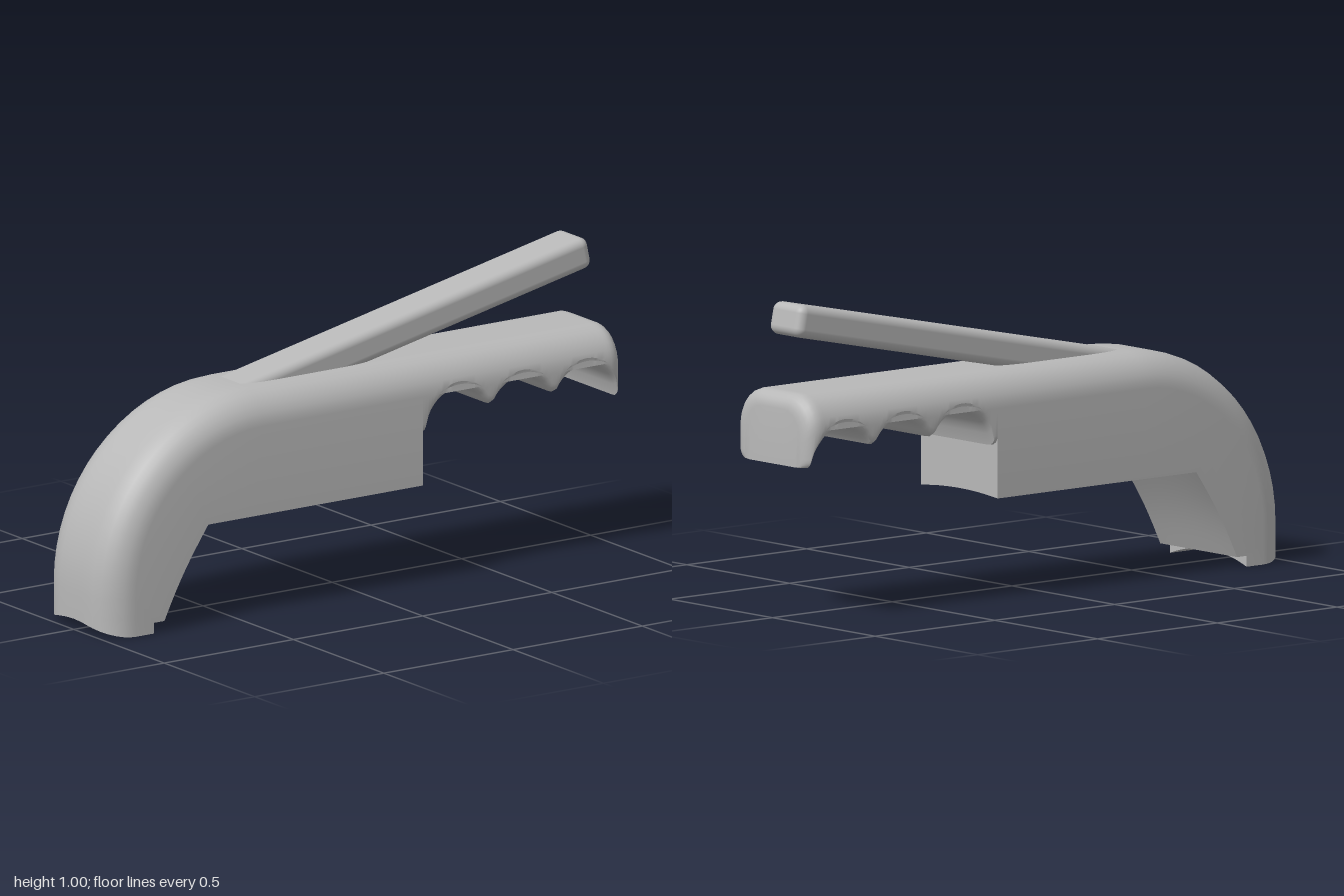
import * as THREE from 'three';
import { toCreasedNormals } from 'three/addons/utils/BufferGeometryUtils.js';
import { RoundedBoxGeometry } from 'three/addons/geometries/RoundedBoxGeometry.js';

const HALF = 0.187;      // half width of the body
const EDGE = 0.11;       // rounding along the outer edge
const GROOVE_EDGE = 0.03; // rounding along the finger grooves
const POCKET = { x0: -0.49, x1: 0.17, z: 0.13, top: 0.55, bottom: 0.331 };

const halfZ = [0.04, 0.077, 0.1, 0.13, 0.15, 0.167, 0.179, 0.185, HALF];
const zs = [...halfZ.map((z) => -z).reverse(), 0, ...halfZ];

// How far a rounded edge of radius r falls back at width z
function fillet(z, r) {
  const d = Math.max(0, Math.abs(z) - (HALF - r));
  return r - Math.sqrt(Math.max(0, r * r - d * d));
}

// Underside of the grip: three finger grooves
function grooveY(x) {
  let y = 0.495;
  for (const c of [0.365, 0.61, 0.855]) {
    const d = x - c;
    if (Math.abs(d) < 0.13) y = Math.max(y, 0.485 + Math.sqrt(0.0169 - d * d));
  }
  return x > 0.4 && x < 0.82 ? Math.max(y, 0.548) : y;
}

// Cross-sections from the grip tip, along the top and round the bend to the foot
function bodyStations() {
  const list = [];
  const add = (o, n, i, extra = {}) =>
    list.push({ o, n, i, half: HALF, bow: 0, soft: false, endBow: 0, ...extra });
  const up = [0, 1];

  // Rounded grip tip
  for (let k = 6; k > 0; k--) {
    const a = (k / 6) * Math.PI / 2;
    const x = 0.95 + 0.05 * Math.sin(a);
    const inset = 0.05 * (1 - Math.cos(a));
    add([x, 0.725 - inset], up, [x, grooveY(x)], { half: HALF - inset, soft: true });
  }
  // Grip with grooves
  const steps = 60;
  for (let k = 0; k <= steps; k++) {
    const x = 0.95 + (0.22 - 0.95) * (k / steps);
    add([x, 0.725], up, [x, grooveY(x)], { soft: true });
  }
  // Deep middle
  for (const x of [0.22, POCKET.x1, -0.1]) add([x, 0.725], up, [x, 0.325], { bow: 0.012 });
  // Bend
  const bend = (deg, i, bow) => {
    const a = deg * Math.PI / 180;
    const n = [Math.cos(a), Math.sin(a)];
    add([-0.4 + 0.6 * n[0], 0.125 + 0.6 * n[1]], n, i, { bow });
  };
  for (let k = 0; k <= 7; k++) bend(90 + (40 * k) / 7, [-0.4 - 0.03 * k, 0.325], 0.012);
  for (let k = 1; k <= 9; k++) {
    const t = k / 9;
    bend(130 + 50 * t,
      [-0.61 - 0.17 * t - 0.01 * Math.sin(Math.PI * t), 0.325 - 0.29 * t], 0.012 * (1 - t));
  }
  // Stepped foot with a hollowed sole
  add([-1, 0.06], [-1, 0], [-0.82, 0.035]);
  add([-1, 0], [-1, 0], [-0.82, 0], { bow: 0.035, endBow: 0.035 });
  return list;
}

function bodyGeometry() {
  const stations = bodyStations();
  const n = zs.length;
  const ring = 2 * n;
  const pos = [];
  const index = [];
  const quad = (a, b, c, d) => index.push(a, b, c, a, c, d);

  for (const s of stations) {
    const arch = (z) => 1 - (z / HALF) ** 2;
    for (const z of zs) {
      const f = fillet(z, EDGE);
      pos.push(s.o[0] - s.n[0] * f, s.o[1] - s.n[1] * f + s.endBow * arch(z), z * s.half / HALF);
    }
    for (const z of [...zs].reverse()) {
      const lift = s.bow * arch(z) + (s.soft ? fillet(z, GROOVE_EDGE) : 0);
      pos.push(s.i[0], s.i[1] + lift, z * s.half / HALF);
    }
  }

  const inPocket = (x) => x > POCKET.x0 - 1e-4 && x < POCKET.x1 + 1e-4;
  for (let s = 0; s < stations.length - 1; s++) {
    const open = inPocket(stations[s].i[0]) && inPocket(stations[s + 1].i[0]);
    for (let j = 0; j < ring; j++) {
      const j2 = (j + 1) % ring;
      if (open && j >= n && j2 > n) {
        const z = Math.max(Math.abs(zs[ring - 1 - j]), Math.abs(zs[ring - 1 - j2]));
        if (z < POCKET.z + 1e-4) continue; // opening of the pocket
      }
      const a = s * ring;
      const b = a + ring;
      quad(a + j, b + j, b + j2, a + j2);
    }
  }

  // End faces
  const last = (stations.length - 1) * ring;
  for (let k = 0; k < n - 1; k++) {
    const i = ring - 1 - k;
    quad(k, k + 1, i - 1, i);
    quad(last + k, last + i, last + i - 1, last + k + 1);
  }

  const g = new THREE.BufferGeometry();
  g.setAttribute('position', new THREE.Float32BufferAttribute(pos, 3));
  g.setIndex(index);
  return toCreasedNormals(g, 0.6);
}

// Inward-facing box, open at the bottom
function pocketGeometry() {
  const { x0, x1, z, top, bottom } = POCKET;
  const g = new THREE.BoxGeometry(x1 - x0, top - bottom, 2 * z);
  g.setIndex(Array.from(g.index.array).filter((_, i) => i < 18 || i >= 24));
  g.clearGroups();
  g.scale(-1, 1, 1);
  g.computeVertexNormals();
  g.translate((x0 + x1) / 2, (top + bottom) / 2, 0);
  return g;
}

export function createModel() {
  const grey = new THREE.MeshStandardMaterial({ color: 0xb8b8b8 });
  grey.name = 'grey';
  const model = new THREE.Group();
  model.name = 'handle';
  const part = (name, geometry) => {
    const m = new THREE.Mesh(geometry, grey);
    m.name = name;
    model.add(m);
    return m;
  };

  part('body', bodyGeometry());
  part('pocket', pocketGeometry());

  // Lever rising from the top of the bend
  const length = 1.5;
  const lever = part('lever', new RoundedBoxGeometry(length, 0.105, 0.154, 4, 0.028));
  const tilt = 0.208;
  lever.rotation.z = tilt;
  lever.position.set(0.95 - Math.cos(tilt) * length / 2, 0.955 - Math.sin(tilt) * length / 2, 0);
  return model;
}
